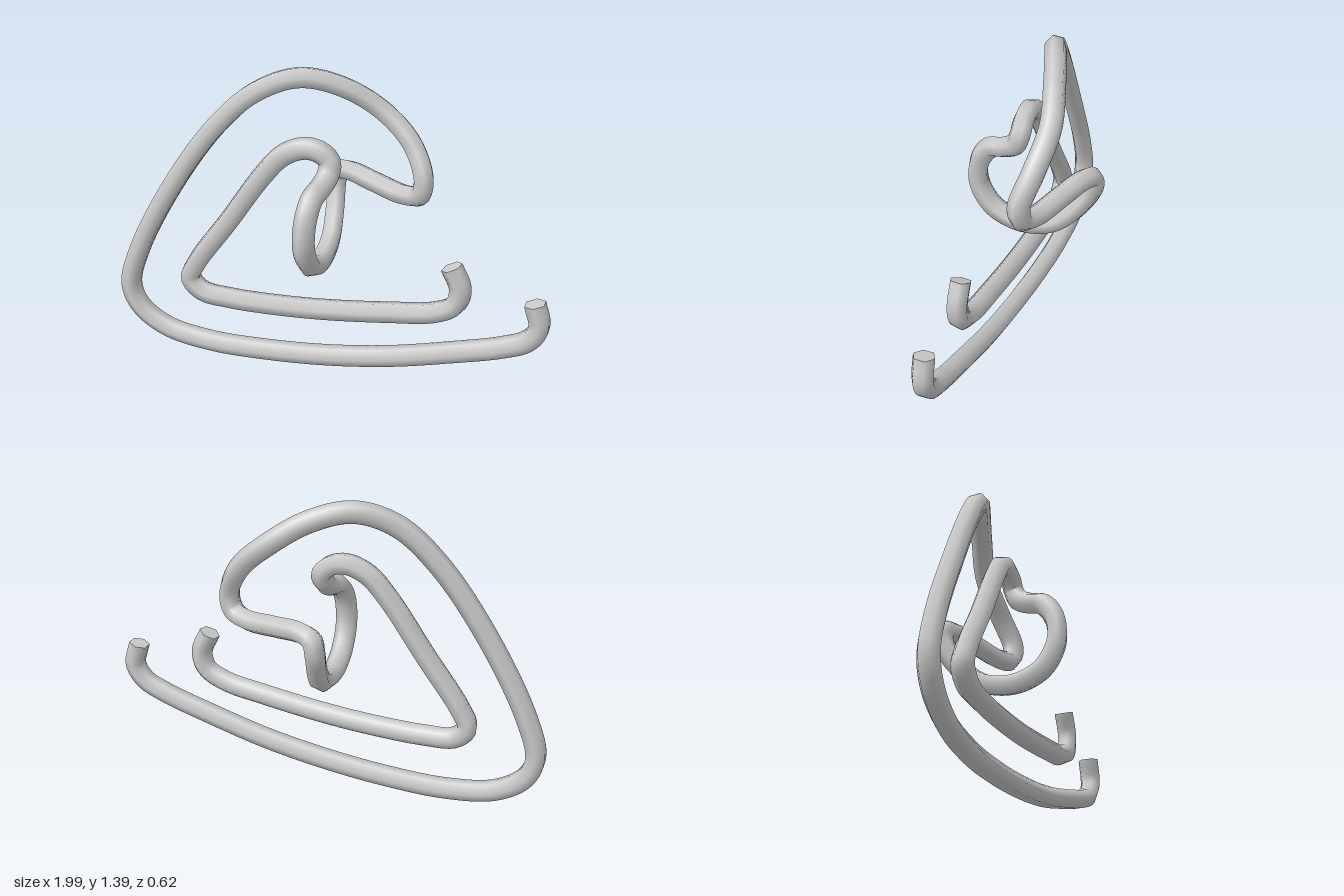
import * as THREE from 'three';

const RADIUS = 0.048, SIDES = 6, STEPS = 420;

// Centre line of the bent rod, from the outer free end to the inner free end
const outerSweep = [
  [0.93, 0.54, 0.082], [0.955, 0.43, 0.082], [0.91, 0.355, 0.082], [0.8, 0.3, 0.082],
  [0.6, 0.235, 0.082], [0.3, 0.15, 0.082], [0, 0.093, 0.082], [-0.3, 0.06, 0.08],
  [-0.56, 0.052, 0.08], [-0.78, 0.085, 0.08], [-0.91, 0.17, 0.08], [-0.953, 0.28, 0.08],
  [-0.9, 0.47, 0.078], [-0.71, 0.83, 0.07], [-0.5, 1.13, 0.045], [-0.33, 1.29, 0.01],
  [-0.16, 1.353, -0.05], [0.01, 1.315, -0.11], [0.18, 1.21, -0.157], [0.32, 1.08, -0.14],
  [0.385, 0.94, -0.1], [0.365, 0.865, -0.105], [0.29, 0.842, -0.135],
];
const hook = [
  [0.14, 0.855, -0.19], [0.01, 0.868, -0.24], [-0.05, 0.85, -0.263], [-0.062, 0.79, -0.262],
  [-0.05, 0.68, -0.2], [-0.035, 0.59, -0.105], [-0.03, 0.555, 0], [-0.03, 0.56, 0.1],
  [-0.03, 0.61, 0.195], [-0.03, 0.72, 0.255], [-0.025, 0.84, 0.245], [-0.015, 0.92, 0.19],
  [0, 0.945, 0.12], [0.012, 0.98, 0.065], [0.012, 1.03, 0.043],
];
const innerSweep = [
  [-0.03, 1.07, 0.045], [-0.1, 1.08, 0.05], [-0.19, 1.04, 0.058], [-0.28, 0.94, 0.065],
  [-0.45, 0.69, 0.075], [-0.61, 0.46, 0.08], [-0.645, 0.375, 0.082], [-0.59, 0.315, 0.082],
  [-0.45, 0.302, 0.082], [-0.25, 0.308, 0.082], [0, 0.33, 0.082], [0.3, 0.375, 0.082],
  [0.5, 0.415, 0.082], [0.59, 0.468, 0.082], [0.61, 0.55, 0.082], [0.568, 0.648, 0.082],
];

// Flat cap over one ring of the tube
function capGeometry(tube, ring, flip) {
  const pos = tube.attributes.position, points = [], index = [];
  for (let i = 0; i < SIDES; i++) {
    points.push(new THREE.Vector3().fromBufferAttribute(pos, ring * (SIDES + 1) + i));
  }
  for (let i = 1; i < SIDES - 1; i++) index.push(0, flip ? i + 1 : i, flip ? i : i + 1);
  const geometry = new THREE.BufferGeometry().setFromPoints(points);
  geometry.setIndex(index);
  geometry.computeVertexNormals();
  return geometry;
}

export function createModel() {
  const group = new THREE.Group();
  group.name = 'bentRod';
  const material = new THREE.MeshStandardMaterial({ color: 0xcccccc });
  const capMaterial = new THREE.MeshStandardMaterial({ color: 0xcccccc, side: THREE.DoubleSide });

  const points = [...outerSweep, ...hook, ...innerSweep].map((p) => new THREE.Vector3(...p));
  const curve = new THREE.CatmullRomCurve3(points, false, 'centripetal');
  curve.arcLengthDivisions = 1500;
  const tube = new THREE.TubeGeometry(curve, STEPS, RADIUS, SIDES, false);

  // Six-sided rod with smooth shading
  const rod = new THREE.Mesh(tube, material);
  rod.name = 'rod';
  group.add(rod);

  // Both free ends are closed
  [['outerEnd', 0, false], ['innerEnd', STEPS, true]].forEach(([name, ring, flip]) => {
    const cap = new THREE.Mesh(capGeometry(tube, ring, flip), capMaterial);
    cap.name = name;
    group.add(cap);
  });
  return group;
}
